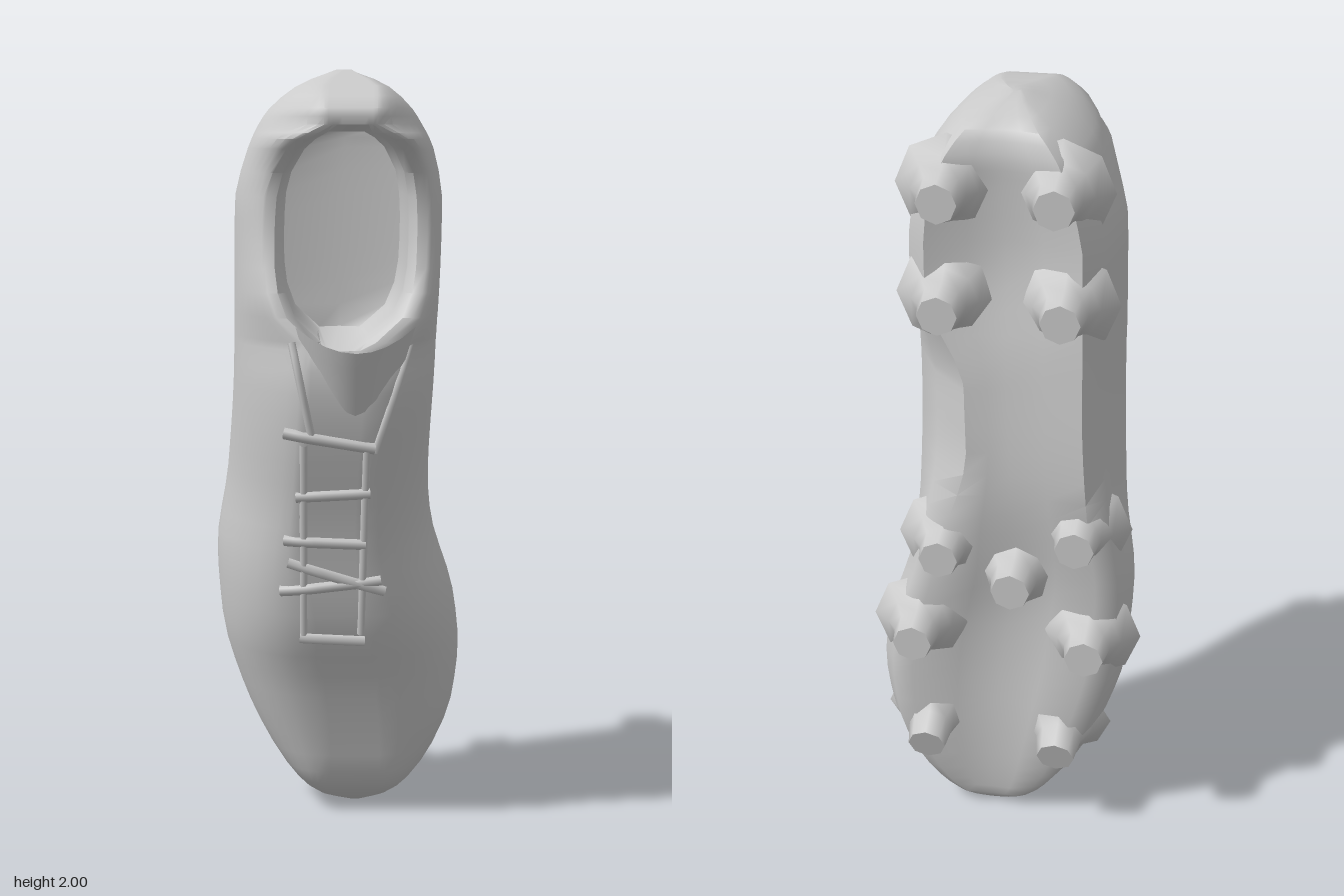
import * as THREE from 'three';
import { mergeVertices, toCreasedNormals } from 'three/addons/utils/BufferGeometryUtils.js';

const grey = new THREE.MeshStandardMaterial({ color: 0xcccccc });
const thin = new THREE.MeshStandardMaterial({ color: 0xcccccc, side: THREE.DoubleSide });

// Reads a value at height y from a short list of [height, value] keys, smoothly and without overshoot
const curve = keys => {
  const slope = i => (keys[i + 1][1] - keys[i][1]) / (keys[i + 1][0] - keys[i][0]);
  const tangent = i => {
    if (i === 0) return slope(0);
    if (i === keys.length - 1) return slope(i - 1);
    const a = slope(i - 1), b = slope(i);
    return a * b > 0 ? 2 * a * b / (a + b) : 0;
  };
  return y => {
    const i = Math.max(1, keys.findIndex(k => k[0] >= y)) - 1;
    const h = keys[i + 1][0] - keys[i][0], t = (y - keys[i][0]) / h, s = 1 - t;
    return keys[i][1] * s * s * (1 + 2 * t) + keys[i + 1][1] * t * t * (1 + 2 * s)
      + h * s * t * (s * tangent(i) - t * tangent(i + 1));
  };
};

// Outline of the boot from toe (0) to heel (2)
const rightEdge = curve([[0, 0.03], [0.03, -0.06], [0.08, -0.12], [0.17, -0.185], [0.35, -0.27],
  [0.53, -0.32], [0.72, -0.332], [0.95, -0.30], [1.25, -0.28], [1.66, -0.275], [1.77, -0.25],
  [1.88, -0.2], [1.96, -0.11], [2, -0.01]]);
const leftEdge = curve([[0, 0.06], [0.03, 0.14], [0.08, 0.2], [0.17, 0.265], [0.3, 0.315],
  [0.45, 0.332], [0.58, 0.318], [0.82, 0.25], [0.95, 0.24], [1.25, 0.25], [1.66, 0.265],
  [1.77, 0.25], [1.88, 0.2], [1.96, 0.12], [2, 0.02]]);
const soleZ = curve([[0, -0.19], [0.03, -0.22], [0.3, -0.275], [0.72, -0.295], [1.05, -0.305],
  [1.5, -0.28], [1.86, -0.275], [1.95, -0.235], [1.98, -0.16], [2, -0.06]]);
const topZ = curve([[0, -0.16], [0.04, -0.09], [0.1, -0.03], [0.2, 0], [0.4, 0.065], [0.55, 0.13],
  [0.82, 0.19], [1.24, 0.285], [1.32, 0.27], [1.5, 0.2], [1.6, 0.18], [1.7, 0.185],
  [1.78, 0.23], [1.84, 0.355], [1.89, 0.37], [1.93, 0.31], [2, -0.02]]);
const widestZ = curve([[0, -0.18], [0.55, -0.21], [0.82, -0.18], [1.3, -0.05], [2, -0.04]]);
// How steeply each side falls from the crest or collar, and how far the sole reaches sideways
const rightFall = curve([[0, 0.9], [0.6, 1], [0.9, 1.5], [1.7, 1.5], [2, 1.3]]);
const leftFall = curve([[0, 0.9], [1, 0.9], [1.25, 0.75], [1.45, 0.9], [1.7, 0.95], [1.85, 1.3], [2, 1.2]]);
const archWidth = curve([[0, 1], [0.8, 1], [1.15, 0.55], [1.3, 0.55], [1.55, 1], [2, 1]]);
const hollowDepth = curve([[0, 0], [0.25, 0.04], [0.6, 0.06], [1.05, 0.015], [1.35, 0.015],
  [1.65, 0.05], [1.85, 0.04], [2, 0]]);

// Heights of the cross-sections, closer together at toe, collar and heel
const heights = [0, 0.015, 0.03, 0.055, 0.08, 0.12];
for (let k = 0; k < 19; k++) heights.push(0.17 + 0.06 * k);
heights.push(1.3, 1.32);
for (let k = 0; k < 8; k++) heights.push(1.38 + 0.06 * k);
heights.push(1.825, 1.84, 1.86, 1.88, 1.9, 1.93, 1.955, 1.975, 1.99, 2);

// One closed ring: hollowed sole, rounded sides, then the foot cavity or the closed crest
function ring(y) {
  const xr = rightEdge(y), xl = leftEdge(y), zb = soleZ(y), zw = widestZ(y), zt = topZ(y);
  const cx = (xl + xr) / 2, hollow = hollowDepth(y);
  const open = y > 1.31 && y < 1.85;
  const rimX = y > 1.31 ? cx + 0.015 : cx;
  const rim = open
    ? 0.055 + 0.15 * Math.sqrt(1 - Math.abs((y - 1.58) / 0.27) ** 3)
    : Math.min(y > 1.8 ? 0.065 : 0.08, (xl - xr) * 0.28);
  // half a ring on the side s, from the sole to the inside of the cavity
  const half = (edge, s, fall, reach) => {
    const w = edge - cx, start = rimX + s * rim;
    const pts = [[cx + w * 0.35 * reach, zb + hollow * 0.7], [cx + w * 0.72 * reach, zb],
      [cx + w * (0.55 + 0.35 * reach), zb + (zw - zb) * (0.6 - 0.35 * reach)]];
    for (let k = 0; k <= 8; k++) {
      const a = (k / 8) * Math.PI / 2;
      pts.push([start + (edge - start) * Math.max(0, Math.cos(a)) ** fall, zw + (zt - zw) * Math.sin(a)]);
    }
    const wall = [[0.025, zt], [0.045, zt - 0.03], [0.04, 0.06], [0.045, -0.1], [0.05, -0.17]];
    wall.forEach(([inset, z], k) =>
      pts.push(open ? [start - s * inset, z] : [start - s * rim * (k + 1) / 6, zt]));
    return pts;
  };
  return [[cx, zb + hollow], ...half(xl, 1, leftFall(y), archWidth(y)), [rimX, open ? -0.19 : zt],
    ...half(xr, -1, rightFall(y), 1).reverse()].map(([x, z]) => [x, y, z]);
}

function loft(rings) {
  const n = rings[0].length, index = [];
  for (let i = 0; i < rings.length - 1; i++)
    for (let j = 0; j < n; j++) {
      const a = i * n + j, b = i * n + (j + 1) % n;
      index.push(a, a + n, b, b, a + n, b + n);
    }
  // close both ends with a fan
  const last = (rings.length - 1) * n;
  for (let j = 1; j < n - 1; j++) {
    index.push(0, j, j + 1);
    index.push(last, last + j + 1, last + j);
  }
  const geo = new THREE.BufferGeometry();
  geo.setAttribute('position', new THREE.Float32BufferAttribute(rings.flat(2), 3));
  geo.setIndex(index);
  return toCreasedNormals(mergeVertices(geo, 1e-4), 0.9);
}

// Tongue: a curved sheet that widens upward and leans out at the tip
function tongueGeometry() {
  const geo = new THREE.PlaneGeometry(2, 1, 8, 6);
  const p = geo.attributes.position;
  for (let i = 0; i < p.count; i++) {
    const u = p.getX(i), v = p.getY(i) + 0.5;
    p.setXYZ(i, 0.03 + u * (0.06 + 0.09 * v), 1.05 + 0.25 * v + 0.06 * v * u * u,
      0.24 + 0.1 * v - u * u * (0.01 + 0.06 * v));
  }
  geo.computeVertexNormals();
  return geo;
}

// A cord from one point to another, half sunk into the curve of the upper
function cordGeometry(x0, y0, x1, y1, radius) {
  const pts = [0, 0.25, 0.5, 0.75, 1].map(t => {
    const x = x0 + (x1 - x0) * t, y = y0 + (y1 - y0) * t;
    const drop = 3 * Math.max(0, Math.abs(x + 0.015) - 0.07) ** 2;
    return new THREE.Vector3(x, y, topZ(y) - drop);
  });
  return new THREE.TubeGeometry(new THREE.CatmullRomCurve3(pts), 8, radius, 6);
}

export function createModel() {
  const boot = new THREE.Group();
  boot.name = 'footballBoot';
  const add = (geo, name, mat = grey) => {
    const mesh = new THREE.Mesh(geo, mat);
    mesh.name = name;
    boot.add(mesh);
    return mesh;
  };

  add(loft(heights.map(ring)), 'shoeBody');
  add(tongueGeometry(), 'tongue', thin);

  // Laces across the upper
  [[-0.11, 0.53, 0.06, 0.52], [-0.16, 0.66, 0.10, 0.69], [-0.14, 0.74, 0.11, 0.66],
    [-0.15, 0.80, 0.06, 0.79], [-0.12, 0.92, 0.07, 0.93], [-0.15, 1.09, 0.08, 1.05]]
    .forEach(ends => add(cordGeometry(...ends, 0.015), 'lace'));

  // Edges of the lacing slot and of the collar beside the tongue
  [[-0.10, 0.54, -0.10, 1.06], [0.05, 0.54, 0.06, 1.06],
    [0.08, 1.04, 0.17, 1.32], [-0.08, 1.08, -0.13, 1.32]]
    .forEach(ends => add(cordGeometry(...ends, 0.01), 'slotEdge'));

  // Studs: flared pegs on the sole, placed by x, y, tip z and tilt
  const studProfile = [[0.13, 0], [0.085, 0.04], [0.06, 0.075], [0.05, 0.14], [0, 0.14]]
    .map(([r, h]) => new THREE.Vector2(r, h));
  const studGeo = toCreasedNormals(new THREE.LatheGeometry(studProfile, 8), 0.9);
  [[-0.14, 1.81, -0.35], [0.14, 1.81, -0.355], [-0.16, 1.53, -0.37], [0.14, 1.53, -0.37],
    [-0.2, 0.91, -0.365], [0.15, 0.85, -0.365], [-0.035, 0.77, -0.36],
    [-0.23, 0.60, -0.38], [0.22, 0.60, -0.38], [-0.15, 0.26, -0.33, 0.3], [0.2, 0.26, -0.33, 0.3]]
    .forEach(([x, y, z, tilt = 0]) => {
      const stud = add(studGeo, 'stud');
      stud.rotation.x = -Math.PI / 2 - tilt;
      stud.position.set(x, y + 0.1 * tilt, z + 0.14);
    });

  return boot;
}
